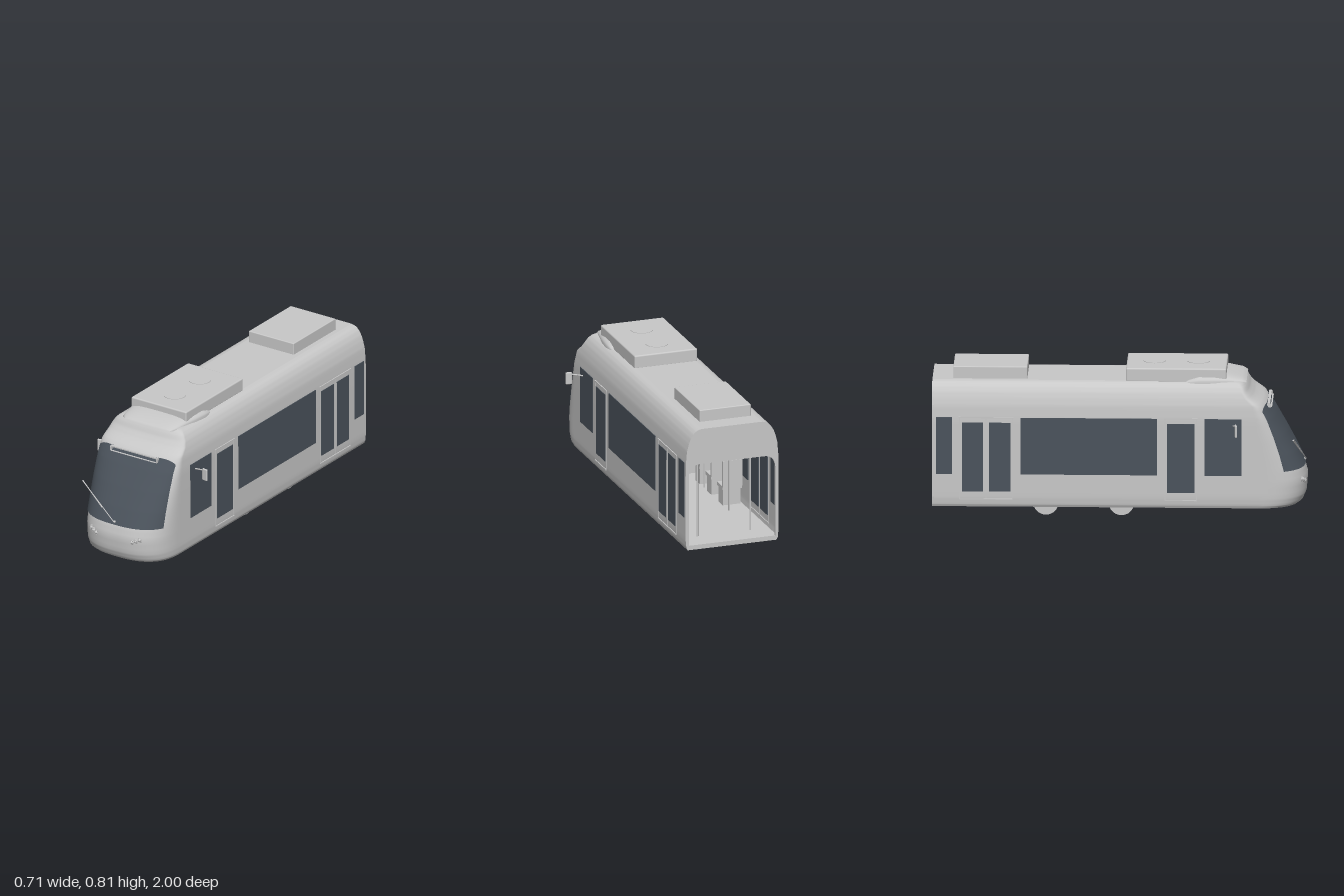
import * as THREE from 'three';
import { RoundedBoxGeometry } from 'three/addons/geometries/RoundedBoxGeometry.js';

const paint = new THREE.MeshStandardMaterial({ color: 0xc8c8c8, side: THREE.DoubleSide });
paint.name = 'light grey paint';
const glass = new THREE.MeshStandardMaterial({ color: 0x4b535c, side: THREE.DoubleSide });
glass.name = 'dark glass';

// Body outline by height: y, half width, nose tip z, nose depth
const PROFILE = [
  [0.065, 0.252, 0.955, 0.23], [0.08, 0.259, 0.975, 0.24], [0.12, 0.263, 0.992, 0.25],
  [0.2, 0.263, 0.998, 0.25], [0.265, 0.263, 0.983, 0.24], [0.35, 0.263, 0.942, 0.2],
  [0.45, 0.263, 0.887, 0.15], [0.55, 0.262, 0.827, 0.1], [0.62, 0.256, 0.78, 0.07],
  [0.66, 0.246, 0.722, 0.055], [0.69, 0.235, 0.695, 0.045], [0.715, 0.22, 0.682, 0.04],
  [0.73, 0.205, 0.672, 0.04], [0.738, 0.19, 0.662, 0.04], [0.742, 0.17, 0.645, 0.04],
];
const POWER = 2.6;

function section(y) {
  let i = 0;
  while (i < PROFILE.length - 2 && y > PROFILE[i + 1][0]) i++;
  const a = PROFILE[i], b = PROFILE[i + 1];
  const t = (y - a[0]) / (b[0] - a[0]);
  return [1, 2, 3].map((k) => a[k] + (b[k] - a[k]) * t);
}

function noseZ(x, y) {
  const [w, tip, depth] = section(y);
  const r = Math.min(1, Math.abs(x) / w);
  return tip - depth + depth * Math.pow(1 - Math.pow(r, POWER), 1 / POWER);
}

// Plan outline at one height, from the left rear round the nose to the right rear
function planOutline(y) {
  const [w, tip, depth] = section(y);
  const pts = [[-w, -1]];
  for (let j = 0; j <= 48; j++) {
    const a = (j / 48 - 0.5) * Math.PI, s = Math.sin(a), c = Math.max(0, Math.cos(a));
    pts.push([w * Math.sign(s) * Math.abs(s) ** (2 / POWER), tip - depth + depth * c ** (2 / POWER)]);
  }
  pts.push([w, -1]);
  return pts.map(([x, z]) => [x, y, z]);
}

// Surface through rows of points
function loft(rows) {
  const n = rows[0].length, index = [];
  for (let i = 0; i < rows.length - 1; i++) {
    for (let j = 0; j < n - 1; j++) {
      const a = i * n + j, b = a + 1, c = b + n, d = a + n;
      index.push(a, b, c, a, c, d);
    }
  }
  const g = new THREE.BufferGeometry();
  g.setAttribute('position', new THREE.Float32BufferAttribute(rows.flat(2), 3));
  g.setIndex(index);
  g.computeVertexNormals();
  return g;
}

export function createModel() {
  const model = new THREE.Group();
  model.name = 'tramCar';

  const add = (name, geometry, x = 0, y = 0, z = 0, material = paint) => {
    const m = new THREE.Mesh(geometry, material);
    m.name = name;
    m.position.set(x, y, z);
    model.add(m);
    return m;
  };
  const box = (name, sx, sy, sz, x, y, z, material) =>
    add(name, new THREE.BoxGeometry(sx, sy, sz), x, y, z, material);
  const rod = (name, from, to, r) => {
    const a = new THREE.Vector3(...from), b = new THREE.Vector3(...to);
    const m = add(name, new THREE.CylinderGeometry(r, r, a.distanceTo(b), 10));
    m.position.copy(a).add(b).multiplyScalar(0.5);
    m.quaternion.setFromUnitVectors(new THREE.Vector3(0, 1, 0), b.sub(a).normalize());
  };
  // Cylinder lying across the car; half keeps only the lower side
  const roller = (name, r, length, x, y, z, half = false) => {
    const g = new THREE.CylinderGeometry(r, r, length, 28, 1, false, Math.PI, half ? Math.PI : Math.PI * 2);
    add(name, g.rotateZ(Math.PI / 2), x, y, z);
  };

  // Body shell, roof and floor
  const rows = [];
  PROFILE.forEach(([y], i) => {
    if (i === PROFILE.length - 1) return rows.push(planOutline(y));
    for (let k = 0; k < 3; k++) rows.push(planOutline(y + (PROFILE[i + 1][0] - y) * k / 3));
  });
  add('bodyShell', loft(rows));
  const slab = (name, y, at) => {
    const shape = new THREE.Shape(planOutline(y).map(([x, , z]) => new THREE.Vector2(x, -z)));
    add(name, new THREE.ShapeGeometry(shape).rotateX(-Math.PI / 2), 0, at, 0);
  };
  slab('roof', 0.742, 0.742);
  slab('underFloor', 0.065, 0.065);
  box('cabinFloor', 0.51, 0.01, 1.7, 0, 0.085, -0.145);
  box('ceiling', 0.5, 0.006, 1.6, 0, 0.61, -0.19);

  // Rear end frame around the open gangway
  const half = PROFILE.map(([y, w]) => [w, y]);
  const frame = new THREE.Shape(
    [...half, ...half.slice().reverse().map(([w, y]) => [-w, y])].map((p) => new THREE.Vector2(...p)));
  const hole = new THREE.Path();
  hole.moveTo(-0.245, 0.09);
  hole.lineTo(-0.245, 0.48);
  hole.quadraticCurveTo(-0.24, 0.545, -0.18, 0.545);
  hole.lineTo(0.18, 0.545);
  hole.quadraticCurveTo(0.24, 0.545, 0.245, 0.48);
  hole.lineTo(0.245, 0.09);
  frame.holes.push(hole);
  add('rearFrame', new THREE.ExtrudeGeometry(frame, { depth: 0.012, bevelEnabled: false }), 0, 0, -1);

  // Windscreen following the nose
  const screen = [];
  for (let i = 0; i <= 40; i++) {
    const row = [];
    for (let j = 0; j <= 60; j++) {
      const u = Math.sin((j / 30 - 1) * Math.PI / 2), x = 0.241 * u;
      const y = 0.265 + (0.352 - 0.025 * u ** 10) * i / 40;
      row.push([x * 1.014, y, noseZ(x, y) + 0.004]);
    }
    screen.push(row);
  }
  add('windscreen', loft(screen), 0, 0, 0, glass);

  // Sign bracket above the windscreen
  box('signBar', 0.305, 0.006, 0.014, 0, 0.617, 0.794);
  box('signLowerBar', 0.29, 0.003, 0.008, 0, 0.597, 0.807);
  for (const s of [-1, 1]) box('signBracket', 0.006, 0.022, 0.02, s * 0.148, 0.605, 0.795);

  // Wiper
  add('wiperPivot', new THREE.SphereGeometry(0.007, 12, 8), 0, 0.28, 0.982);
  rod('wiperArm', [0, 0.28, 0.988], [-0.243, 0.44, 0.93], 0.0025);
  rod('wiperBlade', [-0.09, 0.335, 0.968], [-0.243, 0.437, 0.925], 0.003);

  for (const s of [-1, 1]) {
    // Side windows and door panes: z from, z to, y from, y to
    const panes = [
      ['frontSideWindow', 0.453, 0.652, 0.245, 0.555], ['mainSideWindow', -0.528, 0.2, 0.245, 0.555],
      ['rearSideWindow', -0.978, -0.893, 0.245, 0.555], ['frontDoorPane', 0.255, 0.4, 0.15, 0.527],
      ['rearDoorPane', -0.695, -0.58, 0.15, 0.527], ['rearDoorPane', -0.84, -0.727, 0.15, 0.527],
    ];
    for (const [name, z0, z1, y0, y1] of panes)
      box(name, 0.008, y1 - y0, z1 - z0, s * 0.261, (y0 + y1) / 2, (z0 + z1) / 2, glass);

    // Door rails, posts and steps
    for (const [z0, z1] of [[0.237, 0.418], [-0.858, -0.565]]) {
      const mid = (z0 + z1) / 2;
      box('doorTopRail', 0.01, 0.006, z1 - z0, s * 0.262, 0.555, mid);
      box('doorStep', 0.01, 0.005, z1 - z0 - 0.01, s * 0.262, 0.108, mid);
      for (const z of [z0 + 0.006, z1 - 0.006]) box('doorPost', 0.006, 0.445, 0.004, s * 0.262, 0.33, z);
    }
    box('doorSeam', 0.006, 0.445, 0.003, s * 0.262, 0.33, -0.711);

    // Mirrors
    rod('mirrorArm', [s * 0.26, 0.518, 0.606], [s * 0.33, 0.531, 0.62], 0.004);
    add('mirror', new RoundedBoxGeometry(0.035, 0.068, 0.012, 3, 0.0055), s * 0.338, 0.508, 0.623)
      .rotation.y = s * -0.15;

    // Headlights
    for (const [x, y] of [[0.115, 0.19], [0.135, 0.198], [0.154, 0.206]]) {
      const z = noseZ(x, y);
      add('headlightRing', new THREE.TorusGeometry(0.011, 0.003, 8, 20), s * x, y, z);
      add('headlight', new THREE.SphereGeometry(0.009, 14, 10), s * x, y, z);
    }

    // Wheels, brake discs and axle boxes
    for (const z of [0.008, -0.395]) {
      roller('wheel', 0.06, 0.022, s * 0.174, 0.068, z, true);
      roller('wheelFlange', 0.067, 0.007, s * 0.16, 0.068, z, true);
      roller('wheelHub', 0.014, 0.04, s * 0.182, 0.066, z);
      roller('brakeDisc', 0.038, 0.01, s * 0.105, 0.068, z, true);
    }

    // Seats and grab poles
    for (const z of [0.12, -0.06, -0.24, -0.42]) {
      box('seatBase', 0.1, 0.09, 0.07, s * 0.195, 0.135, z);
      box('seatCushion', 0.11, 0.02, 0.09, s * 0.195, 0.19, z);
      box('seatBack', 0.11, 0.15, 0.015, s * 0.195, 0.27, z - 0.045);
    }
    for (const z of [0.43, 0.22, -0.15, -0.54, -0.87])
      rod('grabPole', [s * 0.15, 0.09, z], [s * 0.15, 0.61, z], 0.005);
    rod('grabRail', [s * 0.15, 0.53, 0.43], [s * 0.15, 0.53, -0.87], 0.004);
  }

  // Axles and motors
  for (const z of [0.008, -0.395]) roller('axle', 0.01, 0.33, 0, 0.06, z);
  for (const z of [-0.095, -0.29]) roller('motor', 0.024, 0.16, -0.015, 0.064, z);

  // Roof units with fans
  add('frontRoofUnit', new RoundedBoxGeometry(0.356, 0.075, 0.535, 3, 0.008), 0, 0.773, 0.3);
  add('rearRoofUnit', new RoundedBoxGeometry(0.291, 0.07, 0.395, 3, 0.005), -0.002, 0.772, -0.692);
  for (const z of [0.18, 0.415])
    add('roofFan', new THREE.CylinderGeometry(0.06, 0.06, 0.004, 32), 0, 0.811, z);

  // Fairing in front of the roof unit: z, half width, top height
  const fairing = [
    [0.675, 0.15, 0.738], [0.65, 0.17, 0.756], [0.57, 0.185, 0.773], [0.5, 0.197, 0.779],
    [0.42, 0.202, 0.778], [0.37, 0.195, 0.76], [0.33, 0.178, 0.735],
  ].map(([z, w, top]) => {
    const row = [];
    for (let j = 0; j <= 24; j++) {
      const a = (j / 24 - 0.5) * Math.PI, s = Math.sin(a);
      row.push([w * Math.sign(s) * Math.abs(s) ** 0.6, 0.73 + (top - 0.73) * Math.max(0, Math.cos(a)) ** 0.6, z]);
    }
    return row;
  });
  add('roofFairing', loft(fairing));

  return model;
}
